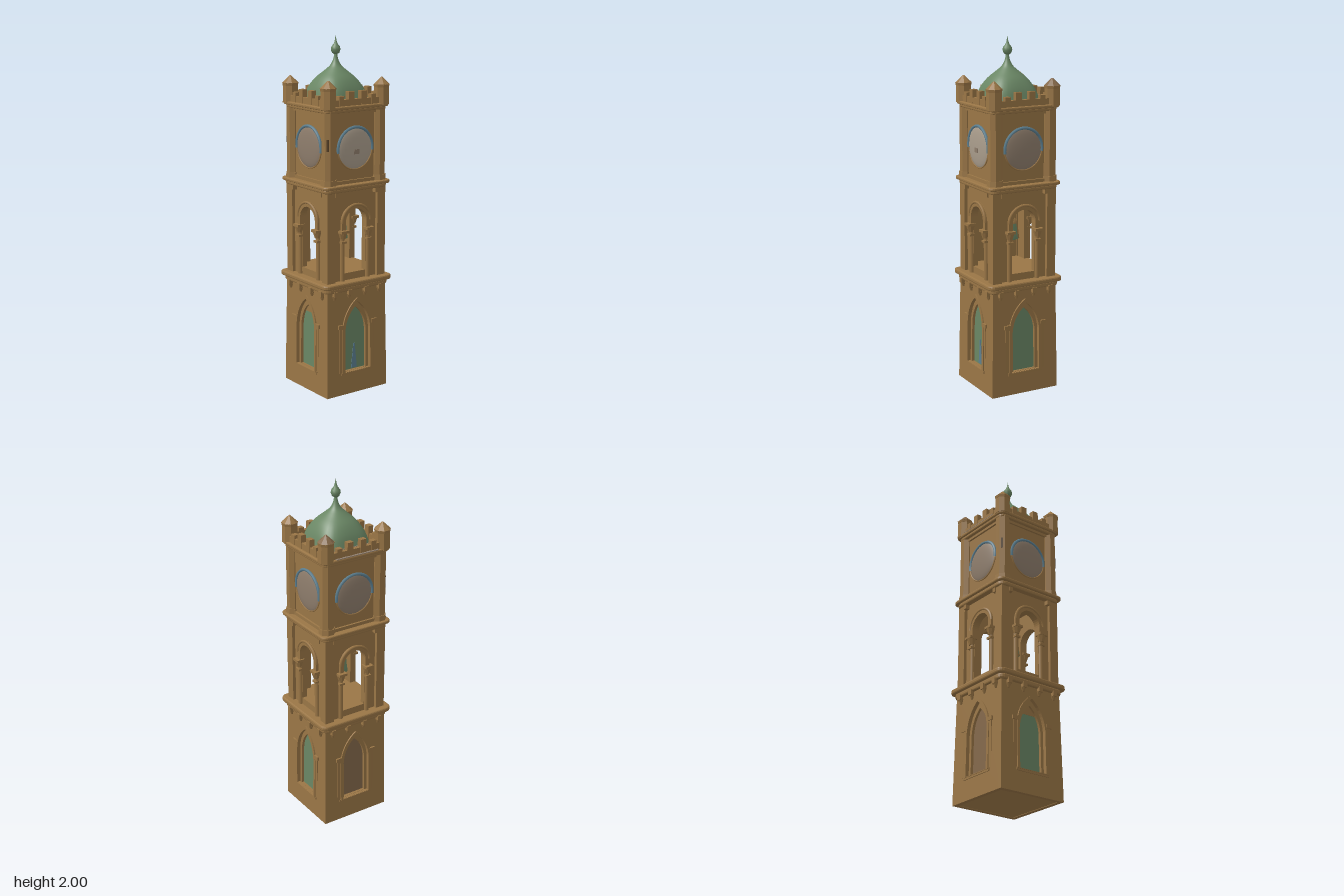
import * as THREE from 'three';
import { toCreasedNormals } from 'three/addons/utils/BufferGeometryUtils.js';

const mat = (name, color) => {
  const m = new THREE.MeshStandardMaterial({ color });
  m.name = name;
  return m;
};

export function createModel() {
  const stone = mat('sandstone', 0x9a7646);
  const weathered = mat('weatheredStone', 0x84684a);
  const dark = mat('slitBrown', 0x553f25);
  const green = mat('copperGreen', 0x6a8765);
  const dial = mat('dialGrey', 0x8e7d6c);
  const paleDial = mat('paleDial', 0xaa9d8c);
  const blue = mat('slateBlue', 0x5c7f90);

  const tower = new THREE.Group();
  tower.name = 'clockTower';

  const add = (parent, name, geo, material, x = 0, y = 0, z = 0) => {
    const m = new THREE.Mesh(geo, material);
    m.name = name;
    m.position.set(x, y, z);
    parent.add(m);
    return m;
  };
  const box = (parent, name, w, h, d, x, y, z, material = stone) =>
    add(parent, name, new THREE.BoxGeometry(w, h, d), material, x, y, z);
  const prism = (r0, r1, h, n = 8) =>
    toCreasedNormals(new THREE.CylinderGeometry(r0, r1, h, n).rotateY(Math.PI / n), 0.4);
  const extrude = (shape, depth) =>
    new THREE.ExtrudeGeometry(shape, { depth, bevelEnabled: false, curveSegments: 10 });

  const poly = pts => new THREE.Shape(pts.map(p => new THREE.Vector2(...p)));
  const rect = (w, y0, y1) => poly([[-w, y0], [w, y0], [w, y1], [-w, y1]]);
  // Pointed arch outline
  const gothic = (w, y0, ys, yt) => {
    const s = new THREE.Shape();
    s.moveTo(-w, y0); s.lineTo(w, y0); s.lineTo(w, ys);
    s.quadraticCurveTo(w * 0.9, ys + (yt - ys) * 0.65, 0, yt);
    s.quadraticCurveTo(-w * 0.9, ys + (yt - ys) * 0.65, -w, ys);
    return s;
  };
  // Round arch outline
  const arch = (w, y0, ys) => {
    const s = new THREE.Shape();
    s.moveTo(-w, y0); s.lineTo(w, y0); s.lineTo(w, ys);
    s.absarc(0, ys, w, 0, Math.PI, false);
    s.lineTo(-w, y0);
    return s;
  };
  // Band round the head of an arch, open below
  const archBand = (r1, r0, y0, ys) => {
    const s = new THREE.Shape();
    s.moveTo(r0, y0); s.lineTo(r1, y0); s.lineTo(r1, ys);
    s.absarc(0, ys, r1, 0, Math.PI, false);
    s.lineTo(-r1, y0); s.lineTo(-r0, y0); s.lineTo(-r0, ys);
    s.absarc(0, ys, r0, Math.PI, 0, true);
    return s;
  };
  const cut = (outer, inner) => { outer.holes.push(inner); return outer; };

  // Rounded square moulding running round the tower
  const ledge = (name, hw, y0, y1, r = 0.035) => {
    const b = Math.min(0.008, (y1 - y0) * 0.3), w = hw - b, s = new THREE.Shape();
    s.moveTo(-w + r, -w);
    s.lineTo(w - r, -w); s.quadraticCurveTo(w, -w, w, -w + r);
    s.lineTo(w, w - r); s.quadraticCurveTo(w, w, w - r, w);
    s.lineTo(-w + r, w); s.quadraticCurveTo(-w, w, -w, w - r);
    s.lineTo(-w, -w + r); s.quadraticCurveTo(-w, -w, -w + r, -w);
    const g = new THREE.ExtrudeGeometry(s, { depth: y1 - y0 - 2 * b, bevelThickness: b,
      bevelSize: b, bevelSegments: 2, curveSegments: 5 });
    add(tower, name, g.rotateX(-Math.PI / 2), stone, 0, y0 + b, 0);
  };
  ledge('lowerCornice', 0.217, 0.605, 0.635);
  ledge('lowerCorniceLip', 0.234, 0.632, 0.66);
  ledge('middleCornice', 0.211, 1.165, 1.19);
  ledge('middleCorniceLip', 0.225, 1.187, 1.206);
  ledge('upperCornice', 0.207, 1.60, 1.62);
  ledge('upperCorniceLip', 0.217, 1.616, 1.635);

  // Base walls lean inwards a little
  const taper = g => {
    const p = g.attributes.position;
    for (let i = 0; i < p.count; i++) p.setZ(i, p.getZ(i) + 0.01 * (1 - p.getY(i) / 0.62));
    g.computeVertexNormals();
    return g;
  };

  // One of four sides, built facing +z
  const side = i => {
    const g = new THREE.Group();
    g.name = ['frontSide', 'leftSide', 'backSide', 'rightSide'][i];
    g.rotation.y = i * Math.PI / 2;

    // Base with stepped, pointed window
    add(g, 'baseWall', taper(extrude(cut(poly([[-0.21, 0], [0.21, 0], [0.2, 0.62], [-0.2, 0.62]]),
      gothic(0.088, 0.13, 0.37, 0.535)), 0.025)), stone, 0, 0, 0.175);
    add(g, 'windowPane', extrude(gothic(0.08, 0.12, 0.36, 0.515), 0.006), i === 3 ? weathered : green, 0, 0, 0.169);
    if (i === 0) box(g, 'windowHead', 0.12, 0.07, 0.008, 0, 0.485, 0.173);
    if (i === 1) add(g, 'windowStreak', extrude(poly([[-0.02, 0.135], [0.02, 0.135], [0.004, 0.28], [-0.004, 0.28]]), 0.003),
      blue, 0, 0, 0.175);
    add(g, 'windowInnerArch', taper(extrude(cut(gothic(0.092, 0.128, 0.37, 0.54),
      gothic(0.071, 0.131, 0.36, 0.5)), 0.016)), stone, 0, 0, 0.171);
    add(g, 'windowHood', taper(extrude(cut(gothic(0.104, 0.126, 0.375, 0.555),
      gothic(0.088, 0.13, 0.37, 0.535)), 0.014)), stone, 0, 0, 0.194);
    box(g, 'windowSill', 0.22, 0.016, 0.016, 0, 0.123, 0.205);

    // Belfry wall with round arch
    add(g, 'belfryWall', extrude(cut(rect(0.18, 0.65, 1.18), arch(0.072, 0.70, 0.99)), 0.03), stone, 0, 0, 0.15);
    add(g, 'belfryArch', extrude(archBand(0.098, 0.072, 0.94, 0.99), 0.016), stone, 0, 0, 0.178);
    add(g, 'belfryOuterArch', new THREE.TorusGeometry(0.096, 0.008, 6, 16, Math.PI), stone, 0, 0.99, 0.192);

    // Clock storey
    add(g, 'clockWall', extrude(rect(0.18, 1.19, 1.62), 0.03), stone, 0, 0, 0.148);
    add(g, 'clockFrame', extrude(cut(rect(0.158, 1.20, 1.61), rect(0.14, 1.225, 1.585)), 0.012), stone, 0, 0, 0.177);
    const d = add(g, 'clockDial', new THREE.SphereGeometry(0.117, 28, 12), i === 1 ? paleDial : dial, 0, 1.397, 0.178);
    d.scale.z = 0.14;
    // Blue upper rim, stone lower rim
    const rim = (name, r, start, span, material) => add(g, name,
      new THREE.TorusGeometry(0.116, r, 6, 28, span).rotateZ(start), material, 0, 1.397, 0.182);
    rim('clockUpperRim', 0.009, -0.15, Math.PI + 0.3, blue);
    rim('clockLowerRim', 0.004, Math.PI + 0.15, Math.PI - 0.3, stone);
    if (i === 1) box(g, 'clockHub', 0.036, 0.026, 0.006, 0, 1.38, 0.194, dial);

    // Parapet
    box(g, 'parapet', 0.30, 0.035, 0.025, 0, 1.652, 0.19);
    if (i === 3) {
      box(g, 'parapetLining', 0.29, 0.036, 0.006, 0, 1.653, 0.176, dial);
      box(g, 'parapetGutter', 0.27, 0.004, 0.014, 0, 1.636, 0.209, dial);
    }

    for (const s of [-1, 1]) {
      box(g, 'windowPier', 0.022, 0.27, 0.016, s * 0.112, 0.265, 0.201);
      box(g, 'windowImpost', 0.038, 0.022, 0.02, s * 0.114, 0.402, 0.203);
      // Engaged columns of the belfry
      add(g, 'belfryColumn', new THREE.CylinderGeometry(0.014, 0.014, 0.25, 10), stone, s * 0.088, 0.785, 0.182);
      add(g, 'belfryCapital', prism(0.026, 0.015, 0.035), stone, s * 0.088, 0.918, 0.188);
      box(g, 'belfryAbacus', 0.05, 0.014, 0.048, s * 0.088, 0.942, 0.19);
      box(g, 'belfryNeckRing', 0.034, 0.012, 0.034, s * 0.088, 0.882, 0.186);
      // Corbels below the cornice
      for (const x of [0.055, 0.155]) {
        box(g, 'corbel', 0.026, 0.03, 0.03, s * x, 0.60, 0.207);
        add(g, 'corbelTip', prism(0.016, 0.006, 0.025), stone, s * x, 0.576, 0.203);
      }
      box(g, 'upperCorbel', 0.022, 0.03, 0.03, s * 0.135, 1.155, 0.19);
      // Battlements
      box(g, 'tallMerlon', 0.036, 0.075, 0.03, s * 0.042, 1.674, 0.19);
      box(g, 'lowMerlon', 0.032, 0.055, 0.03, s * 0.108, 1.662, 0.19);
    }

    // Corner posts and turret
    box(g, 'belfryPost', 0.055, 0.53, 0.055, 0.171, 0.91, 0.171);
    add(g, 'clockPost', prism(0.04, 0.04, 0.42), stone, 0.168, 1.4, 0.168);
    add(g, 'postBase', prism(0.044, 0.046, 0.03), stone, 0.168, 1.222, 0.168);
    if (i === 0 || i === 3)
      box(g, 'postSlit', 0.013, 0.065, 0.006, 0.1935, 1.43, 0.1935, dark).rotation.y = Math.PI / 4;
    add(g, 'turret', prism(0.042, 0.044, 0.10), stone, 0.18, 1.675, 0.18);
    add(g, 'turretRim', prism(0.046, 0.043, 0.016), stone, 0.18, 1.728, 0.18);
    add(g, 'turretRoof', prism(0.004, 0.046, 0.04), i === 2 ? weathered : stone, 0.18, 1.755, 0.18);
    tower.add(g);
  };
  for (let i = 0; i < 4; i++) side(i);

  // Sloping hollow under the base, faces turned inwards
  const hollow = new THREE.CylinderGeometry(0.1, 0.266, 0.1, 4, 1, true).rotateY(Math.PI / 4).scale(-1, 1, 1);
  add(tower, 'baseHollow', toCreasedNormals(hollow, 0.4), stone, 0, 0.05, 0);
  box(tower, 'baseCeiling', 0.34, 0.01, 0.34, 0, 0.104, 0);
  box(tower, 'belfryFloor', 0.305, 0.05, 0.305, 0, 0.675, 0);

  // Bell on a central pole: green on the four faces, stone between them
  const lathe = (pts, n, start = 0, span = Math.PI * 2) =>
    new THREE.LatheGeometry(pts.map(p => new THREE.Vector2(...p)), n, start, span);
  const bell = [[0, 0.858], [0.058, 0.858], [0.068, 0.862], [0.064, 0.885], [0.06, 0.93], [0.056, 0.95]];
  for (let i = 0; i < 4; i++) {
    const a = i * Math.PI / 2;
    add(tower, 'bellFace', lathe(bell, 6, a - 0.58, 1.16), green);
    add(tower, 'bellCorner', lathe(bell, 3, a + 0.58, Math.PI / 2 - 1.16), i % 2 ? green : stone);
  }
  add(tower, 'bellCrown', lathe([[0.056, 0.95], [0.052, 0.965], [0.036, 0.982], [0, 0.99]], 20), stone);
  add(tower, 'bellPole', new THREE.CylinderGeometry(0.015, 0.015, 0.26, 10), stone, 0, 0.80, 0);
  add(tower, 'bellHanger', new THREE.CylinderGeometry(0.022, 0.022, 0.21, 10), stone, 0, 1.075, 0);

  // Onion dome, squarer towards its foot
  const curve = new THREE.SplineCurve([[0.16, 1.63], [0.148, 1.67], [0.132, 1.72], [0.103, 1.768],
    [0.062, 1.806], [0.031, 1.835], [0.014, 1.868], [0.008, 1.9]].map(p => new THREE.Vector2(...p)));
  const dome = new THREE.LatheGeometry(curve.getPoints(24), 40);
  const p = dome.attributes.position;
  for (let i = 0; i < p.count; i++) {
    const x = p.getX(i), z = p.getZ(i), r = Math.hypot(x, z);
    const t = THREE.MathUtils.smoothstep(1.86 - p.getY(i), 0, 0.2);
    const q = r / Math.pow(Math.pow(Math.abs(x), 4) + Math.pow(Math.abs(z), 4), 0.25);
    const k = 1 + (q - 1) * t;
    p.setX(i, x * k);
    p.setZ(i, z * k);
  }
  dome.computeVertexNormals();
  add(tower, 'dome', dome, green);
  add(tower, 'finial', lathe([[0.008, 1.895], [0.02, 1.902], [0.027, 1.92], [0.024, 1.936],
    [0.011, 1.952], [0.005, 1.97], [0, 2.0]], 12), green);

  return tower;
}
